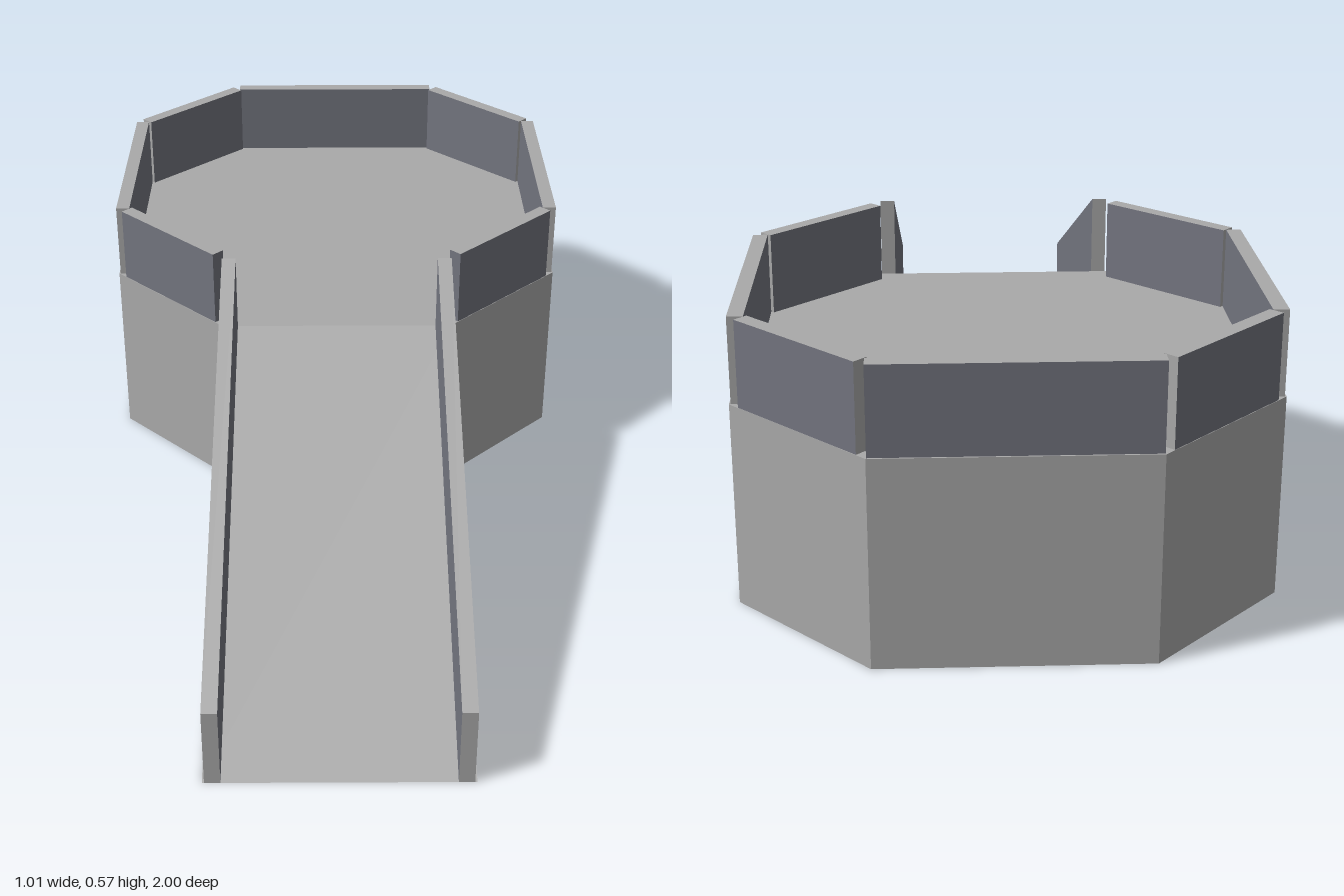
import * as THREE from 'three';

const H = 0.4;       // platform height
const RAIL = 0.167;  // railing height
const T = 0.03;      // railing thickness

const grey = new THREE.MeshStandardMaterial({ color: 0xaaaaaa, side: THREE.DoubleSide });
grey.name = 'concrete grey';
const slate = new THREE.MeshStandardMaterial({ color: 0x73757f });
slate.name = 'slate panel';

// Flat convex panel from its corners
function panel(name, corners) {
  const index = [];
  for (let i = 1; i < corners.length - 1; i++) index.push(0, i, i + 1);
  const g = new THREE.BufferGeometry();
  g.setAttribute('position', new THREE.Float32BufferAttribute(corners.flat(), 3));
  g.setIndex(index);
  g.computeVertexNormals();
  const m = new THREE.Mesh(g, grey);
  m.name = name;
  return m;
}

export function createModel() {
  const model = new THREE.Group();
  model.name = 'rampPlatform';

  // Octagon outline (x, z), starting and ending at the ramp opening
  const half = [[0.252, 0.01], [0.505, -0.24], [0.505, -0.75], [0.252, -1]];
  const outline = [...half, ...half.map(([x, z]) => [-x, z]).reverse()];

  // Platform deck, open underneath
  model.add(panel('deck', outline.map(([x, z]) => [x, H, z])));

  // Platform walls and railings on every edge except the ramp opening
  for (let i = 0; i < 7; i++) {
    const [ax, az] = outline[i], [bx, bz] = outline[i + 1];
    model.add(panel('platformWall', [[ax, 0, az], [bx, 0, bz], [bx, H, bz], [ax, H, az]]));

    const edge = Math.hypot(bx - ax, bz - az);
    const dx = (bx - ax) / edge, dz = (bz - az) / edge;
    const diagonal = i % 2 === 0;
    const length = edge - (diagonal ? 0.048 : 0.002);
    const inset = T / 2 + (diagonal ? 0.001 : 0.003);
    const rail = new THREE.Mesh(
      new THREE.BoxGeometry(length, RAIL, T),
      [i === 6 ? slate : grey, i === 0 ? slate : grey, grey, grey, slate, slate]
    );
    rail.position.set((ax + bx) / 2 + dz * inset, H + RAIL / 2, (az + bz) / 2 - dx * inset);
    rail.rotation.y = Math.atan2(-dz, dx);
    rail.name = 'platformRailing';
    model.add(rail);
  }

  // Ramp slope, open underneath
  const w = 0.252, top = 0.01, end = 1;
  model.add(panel('rampSlope', [[-w, 0, end], [w, 0, end], [w, H, top], [-w, H, top]]));

  // Ramp side walls and sloping railings
  const profile = new THREE.Shape([
    new THREE.Vector2(-end, 0), new THREE.Vector2(-top, H),
    new THREE.Vector2(-top, H + RAIL), new THREE.Vector2(-end, RAIL),
  ]);
  for (const s of [-1, 1]) {
    model.add(panel('rampSide', [[s * w, 0, end], [s * w, 0, top], [s * w, H, top]]));
    const g = new THREE.ExtrudeGeometry(profile, { depth: T, bevelEnabled: false });
    g.translate(0, 0, -T / 2);
    g.rotateY(Math.PI / 2);
    const rail = new THREE.Mesh(g, [slate, grey]);
    rail.position.x = s * 0.233;
    rail.name = 'rampRailing';
    model.add(rail);
  }
  return model;
}
